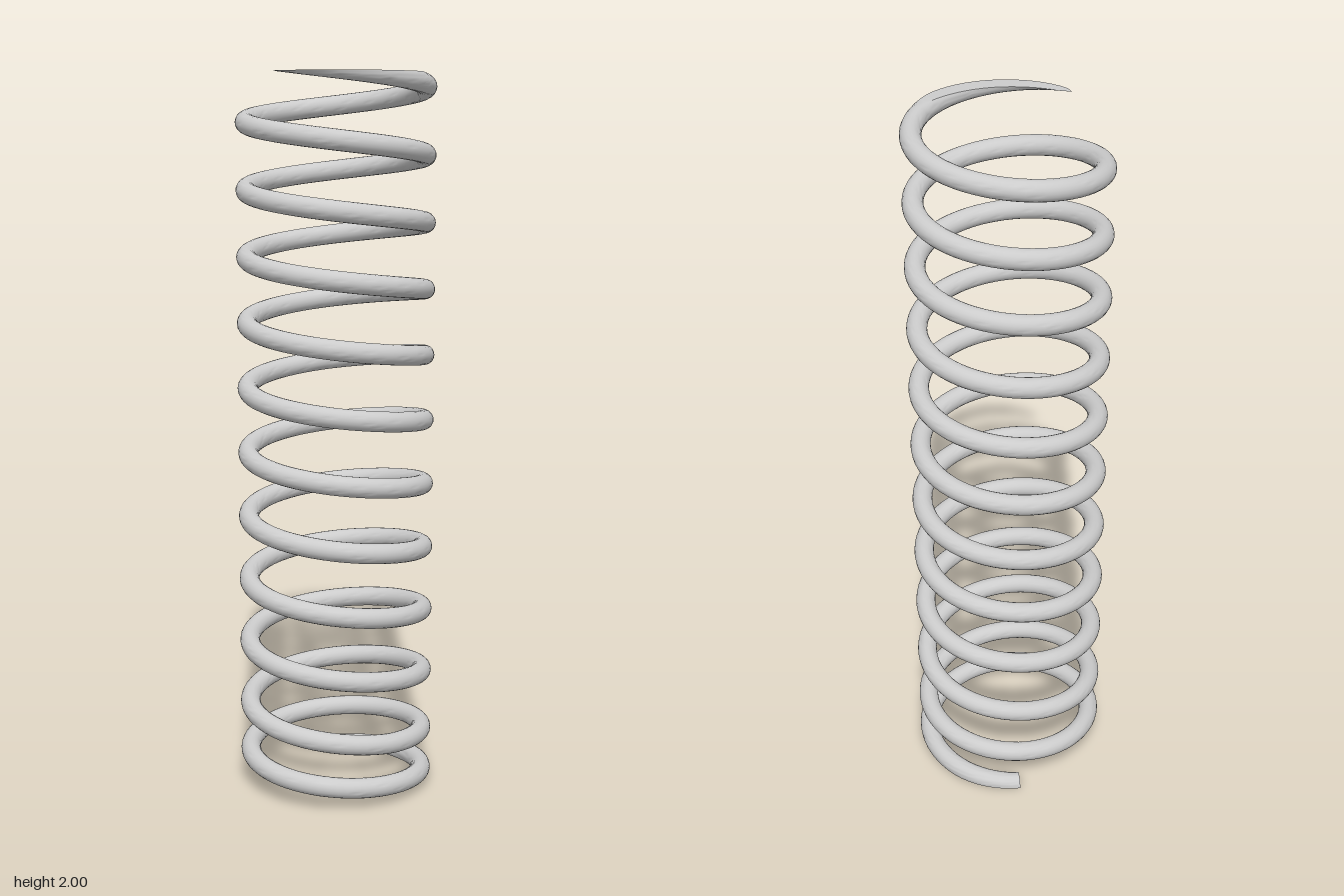
import * as THREE from 'three';
import { toCreasedNormals } from 'three/addons/utils/BufferGeometryUtils.js';

const COIL_R = 0.245;   // radius of the wire's centre line
const WIRE_R = 0.028;   // radius of the wire
const HEIGHT = 2;       // both ends are ground flat at y = 0 and y = HEIGHT
const CLOSE_PITCH = 0.122; // rise per turn of the tighter bottom coils
const OPEN_PITCH = 0.1815; // rise per turn of the remaining coils
const START = 211 / 360;   // turn at which the wire begins
const CHANGE = 2;          // turn at which the pitch opens up
const HALF = 10;           // segments on each half of the wire's section
const STEPS_PER_TURN = 64;

const changeY = (CHANGE - START) * CLOSE_PITCH;
const END = CHANGE + (HEIGHT + WIRE_R - changeY) / OPEN_PITCH; // wire tapers out here

function centreHeight(turn) {
  return turn < CHANGE
    ? (turn - START) * CLOSE_PITCH
    : changeY + (turn - CHANGE) * OPEN_PITCH;
}

// Angle on the wire's section where a horizontal plane cuts it
function cutAngle(dy) {
  return Math.asin(THREE.MathUtils.clamp(dy / WIRE_R, -1, 1));
}

// Section: outer half going up, then inner half going down; the ground planes
// shorten both arcs and leave a flat between them.
function section(turn) {
  const y = centreHeight(turn);
  const lo = cutAngle(-y);
  const hi = cutAngle(HEIGHT - y);
  const theta = turn * Math.PI * 2;
  const points = [];
  for (const side of [1, -1]) {
    for (let k = 0; k <= HALF; k++) {
      const f = side > 0 ? k / HALF : 1 - k / HALF;
      const phi = lo + (hi - lo) * f;
      const radius = COIL_R + side * WIRE_R * Math.cos(phi);
      points.push(radius * Math.cos(theta), y + WIRE_R * Math.sin(phi), radius * Math.sin(theta));
    }
  }
  return points;
}

function coilGeometry() {
  const ring = 2 * (HALF + 1);
  const steps = Math.ceil((END - START) * STEPS_PER_TURN);
  const positions = [];
  const index = [];
  for (let i = 0; i <= steps; i++) {
    positions.push(...section(START + (END - START) * i / steps));
  }
  for (let i = 0; i < steps; i++) {
    for (let j = 0; j < ring; j++) {
      const a = i * ring + j;
      const b = i * ring + (j + 1) % ring;
      index.push(a, b, a + ring, b, b + ring, a + ring);
    }
  }
  // Blunt cap where the wire begins
  for (let j = 1; j < ring - 1; j++) index.push(0, j + 1, j);

  const geometry = new THREE.BufferGeometry();
  geometry.setAttribute('position', new THREE.Float32BufferAttribute(positions, 3));
  geometry.setIndex(index);
  return toCreasedNormals(geometry, 0.6);
}

export function createModel() {
  const group = new THREE.Group();
  group.name = 'spring';
  const coil = new THREE.Mesh(
    coilGeometry(),
    new THREE.MeshStandardMaterial({ color: 0xcccccc })
  );
  coil.name = 'coil';
  group.add(coil);
  return group;
}
